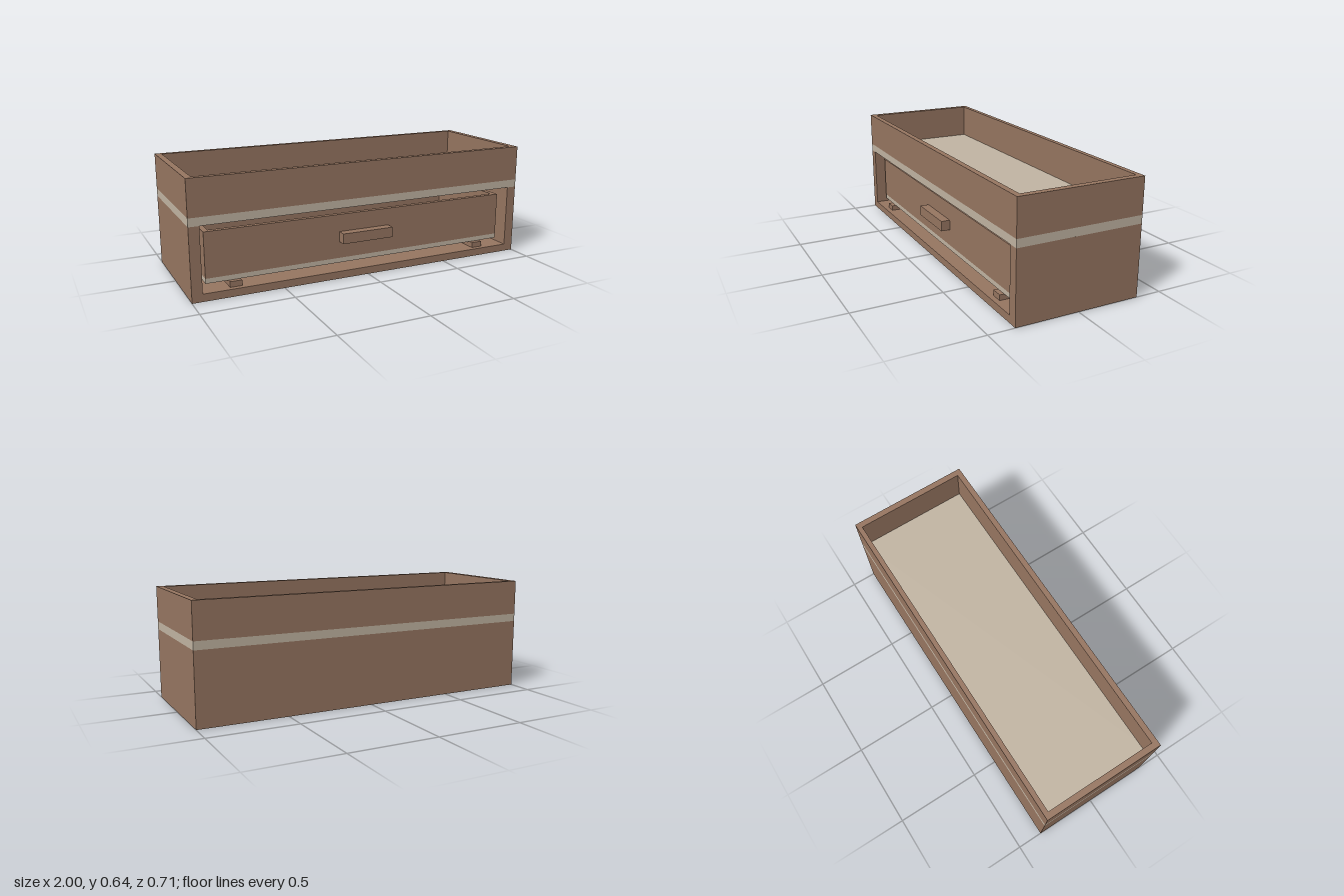
import * as THREE from 'three';

export function createModel() {
  const root = new THREE.Group();
  root.name = 'drawerChest';

  const wood = new THREE.MeshStandardMaterial({ color: 0x977661 });
  wood.name = 'brown wood';
  const board = new THREE.MeshStandardMaterial({ color: 0xc2b5a3 });
  board.name = 'pale board';

  // Box given by its minimum and maximum on each axis
  function box(parent, name, material, [x0, x1], [y0, y1], [z0, z1]) {
    const mesh = new THREE.Mesh(new THREE.BoxGeometry(x1 - x0, y1 - y0, z1 - z0), material);
    mesh.position.set((x0 + x1) / 2, (y0 + y1) / 2, (z0 + z1) / 2);
    mesh.name = name;
    parent.add(mesh);
  }

  // The same box on both sides, given for +x
  function pair(parent, name, material, [x0, x1], y, z) {
    box(parent, name + 'Left', material, [x0, x1], y, z);
    box(parent, name + 'Right', material, [-x1, -x0], y, z);
  }

  function group(name) {
    const g = new THREE.Group();
    g.name = name;
    root.add(g);
    return g;
  }

  const D = 0.355;

  // Lower case, open at the front
  const lower = group('lowerCase');
  box(lower, 'caseFloor', wood, [-1, 1], [0, 0.042], [-D, D]);
  pair(lower, 'caseSide', wood, [0.943, 1], [0.042, 0.4], [-D, D]);
  box(lower, 'caseBack', wood, [-0.943, 0.943], [0.042, 0.4], [-D, -0.325]);
  pair(lower, 'drawerRunner', wood, [0.725, 0.791], [0.042, 0.073], [-0.325, 0.325]);

  // Pale shelf between the two levels, its edge showing all round
  box(root, 'middleShelf', board, [-1, 1], [0.4, 0.445], [-D, D]);

  // Upper tray, open at the top
  const tray = group('upperTray');
  pair(tray, 'traySide', wood, [0.965, 1], [0.445, 0.645], [-D, D]);
  box(tray, 'trayFront', wood, [-0.965, 0.965], [0.445, 0.645], [0.323, D]);
  box(tray, 'trayBack', wood, [-0.965, 0.965], [0.445, 0.645], [-D, -0.327]);

  // Drawer, an open box on a pale bottom, set back in the opening
  const drawer = group('drawer');
  box(drawer, 'drawerBottom', board, [-0.912, 0.912], [0.073, 0.1], [-0.31, 0.3]);
  box(drawer, 'drawerFront', wood, [-0.912, 0.912], [0.1, 0.35], [0.272, 0.3]);
  box(drawer, 'drawerBack', wood, [-0.912, 0.912], [0.1, 0.35], [-0.31, -0.282]);
  pair(drawer, 'drawerSide', wood, [0.882, 0.912], [0.1, 0.35], [-0.282, 0.272]);
  box(drawer, 'drawerHandle', wood, [-0.153, 0.153], [0.194, 0.252], [0.3, 0.351]);

  return root;
}
